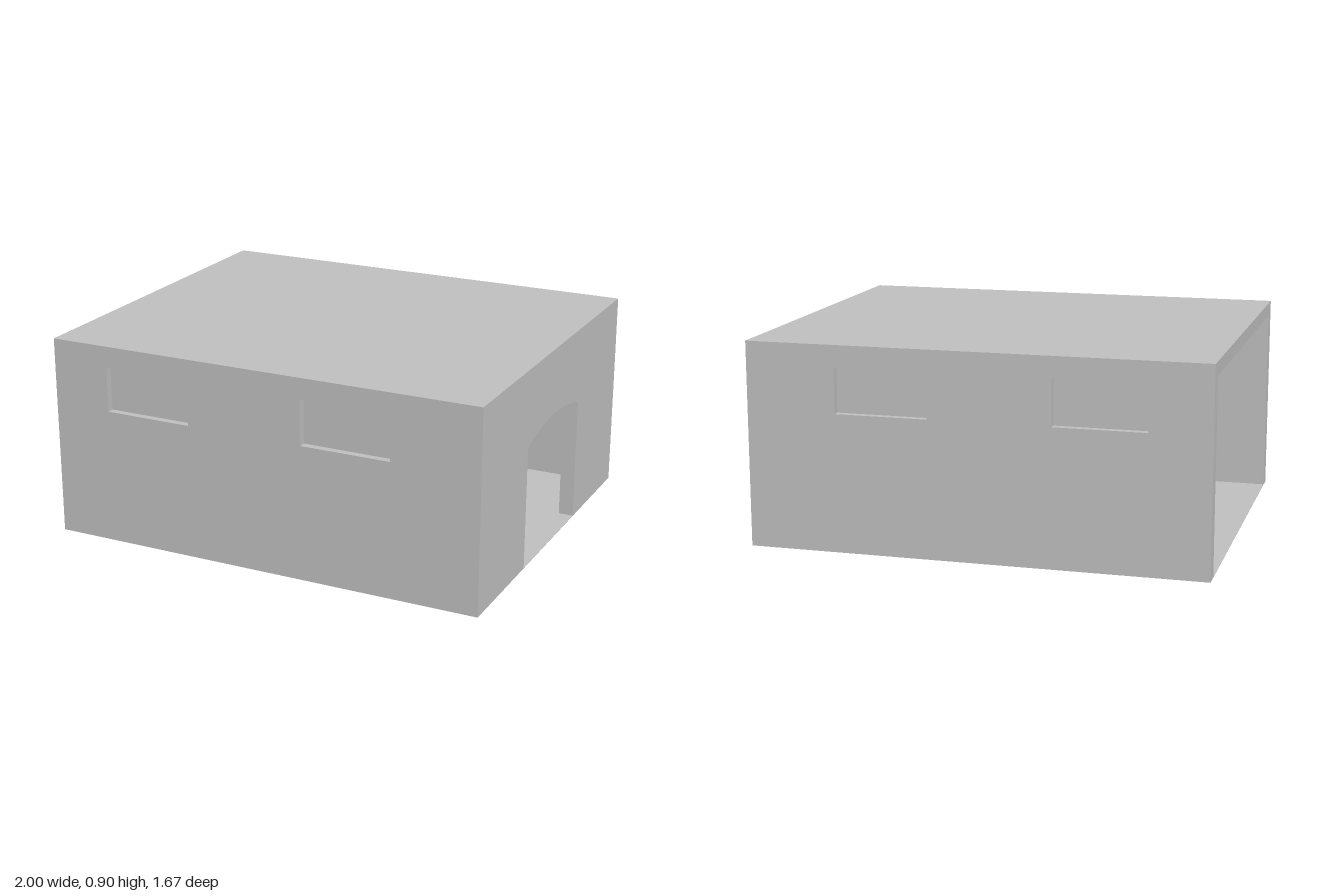
import * as THREE from 'three';

const W = 2, D = 1.67, H = 0.9; // outer size
const T = 0.067;                // wall thickness
const ROOF = 0.06, FLOOR = 0.002;

export function createModel() {
  const model = new THREE.Group();
  model.name = 'room';
  const plaster = new THREE.MeshStandardMaterial({ color: 0xbfbfbf });
  plaster.name = 'grey plaster';

  const add = (parent, name, geometry, x = 0, y = 0, z = 0) => {
    const mesh = new THREE.Mesh(geometry, plaster);
    mesh.name = name;
    mesh.position.set(x, y, z);
    parent.add(mesh);
    return mesh;
  };
  const rect = (Type, x0, y0, x1, y1) => {
    const s = new Type();
    s.moveTo(x0, y0).lineTo(x1, y0).lineTo(x1, y1).lineTo(x0, y1).closePath();
    return s;
  };
  const extrude = (shape) =>
    new THREE.ExtrudeGeometry(shape, { depth: T, bevelEnabled: false, curveSegments: 24 });

  // Floor sheet and roof slab
  add(model, 'floor', new THREE.BoxGeometry(W, FLOOR, D), 0, FLOOR / 2, 0);
  add(model, 'roof', new THREE.BoxGeometry(W, ROOF, D), 0, H - ROOF / 2, 0);

  // Long walls, each with two window niches and a thin pane halfway through
  const windows = [[-0.735, -0.335], [0.2, 0.605]];
  const sill = 0.605, head = 0.805;
  for (const [side, z] of [['front', D / 2 - T], ['back', -D / 2]]) {
    const wall = new THREE.Group();
    wall.name = side + 'Wall';
    wall.position.z = z;
    model.add(wall);
    const shape = rect(THREE.Shape, -W / 2, FLOOR, W / 2, H - ROOF);
    for (const [x0, x1] of windows) {
      shape.holes.push(rect(THREE.Path, x0, sill, x1, head));
      add(wall, 'windowPane', new THREE.BoxGeometry(x1 - x0, head - sill, 0.004),
        (x0 + x1) / 2, (sill + head) / 2, T / 2);
    }
    add(wall, 'wallPanel', extrude(shape));
  }

  // End wall with a shallow arched doorway; the opposite end stays open
  const half = 0.315, spring = 0.555, rise = 0.048;
  const radius = (half * half + rise * rise) / (2 * rise);
  const angle = Math.asin(half / radius);
  const inner = D / 2 - T;
  const end = new THREE.Shape();
  end.moveTo(-inner, FLOOR).lineTo(-half, FLOOR).lineTo(-half, spring);
  end.absarc(0, spring + rise - radius, radius, Math.PI / 2 + angle, Math.PI / 2 - angle, true);
  end.lineTo(half, FLOOR).lineTo(inner, FLOOR).lineTo(inner, H - ROOF).lineTo(-inner, H - ROOF).closePath();
  add(model, 'archedWall', extrude(end), W / 2 - T, 0, 0).rotation.y = Math.PI / 2;

  return model;
}
